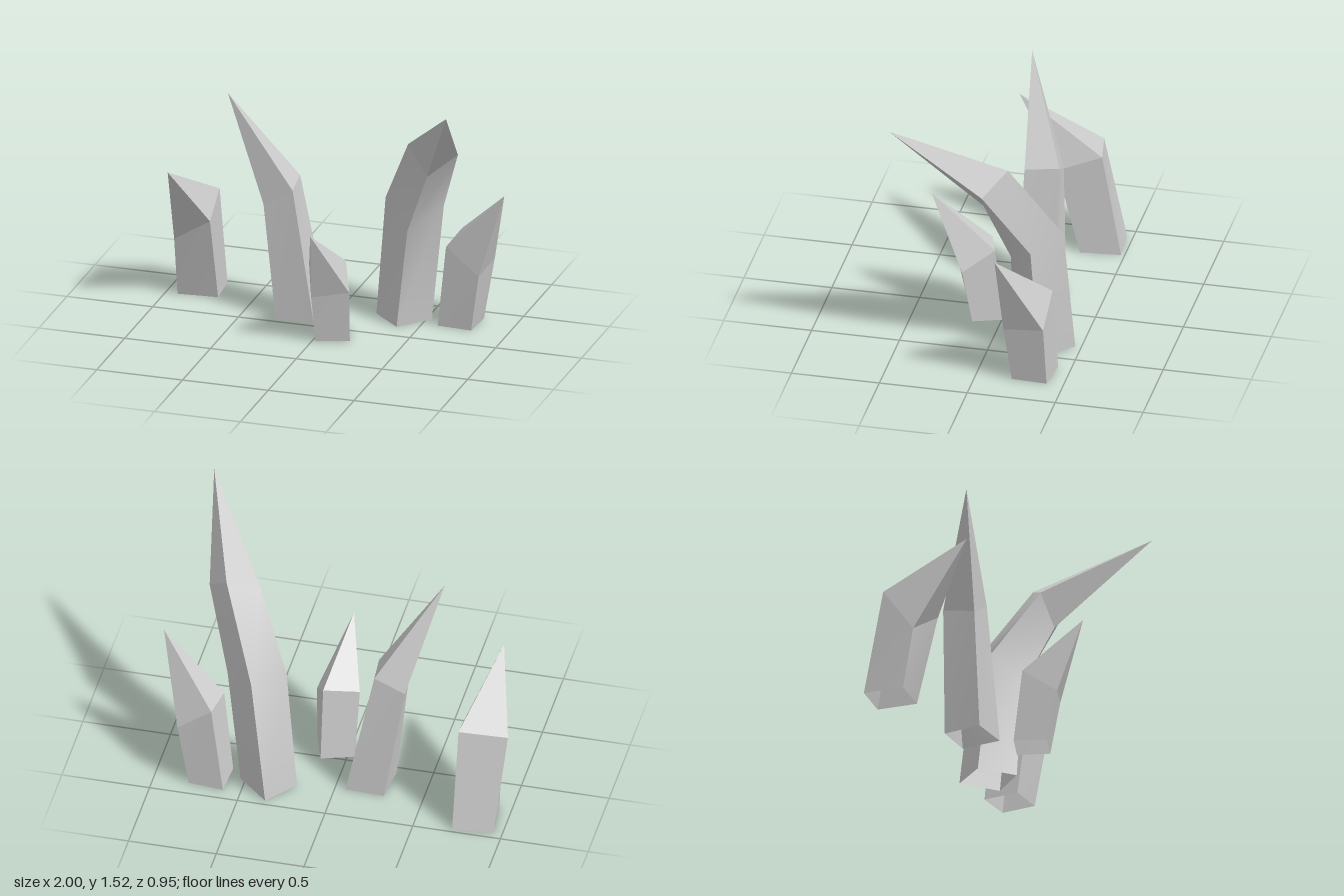
import * as THREE from 'three';
import { mergeGeometries } from 'three/addons/utils/BufferGeometryUtils.js';

// Each spike: four-cornered rings from the ground up (counter-clockwise from above), then a tip.
const SPIKES = {
  farRightSpike: {
    rings: [
      [[-0.95, 0, -0.46], [-0.93, 0, -0.23], [-0.70, 0, -0.25], [-0.72, 0, -0.48]],
      [[-1.00, 0.57, -0.32], [-0.93, 0.35, -0.17], [-0.705, 0.50, -0.12], [-0.73, 0.60, -0.37]],
    ],
    tip: [-0.87, 0.865, 0.13],
  },
  tallRightSpike: {
    rings: [
      [[-0.28, 0, -0.27], [-0.30, 0, -0.05], [-0.07, 0, -0.03], [-0.06, 0, -0.26]],
      [[-0.39, 0.70, -0.23], [-0.37, 0.67, -0.05], [-0.20, 0.77, -0.05], [-0.22, 0.79, -0.245]],
    ],
    tip: [-0.565, 1.325, -0.01],
  },
  smallFrontSpike: {
    rings: [
      [[-0.04, 0, 0.04], [0.02, 0, 0.215], [0.20, 0, 0.155], [0.14, 0, -0.02]],
      [[-0.055, 0.41, 0.10], [0.015, 0.285, 0.28], [0.215, 0.31, 0.21], [0.14, 0.43, 0.04]],
    ],
    tip: [0.055, 0.705, 0.42],
  },
  largeCurvedSpike: {
    rings: [
      [[0.21, 0, -0.29], [0.38, 0, -0.13], [0.53, 0, -0.30], [0.35, 0, -0.465]],
      [[0.28, 0.72, -0.24], [0.445, 0.58, -0.12], [0.61, 0.70, -0.27], [0.44, 0.755, -0.42]],
      [[0.48, 1.14, -0.03], [0.60, 0.97, 0], [0.77, 1.11, -0.03], [0.645, 1.235, -0.15]],
    ],
    tip: [0.865, 1.525, 0.475],
  },
  farLeftSpike: {
    rings: [
      [[0.60, 0, -0.425], [0.59, 0, -0.22], [0.79, 0, -0.205], [0.80, 0, -0.405]],
      [[0.67, 0.52, -0.41], [0.65, 0.49, -0.185], [0.845, 0.34, -0.17], [0.865, 0.37, -0.40]],
    ],
    tip: [1.00, 0.845, -0.155],
  },
};

function patch(points, index) {
  const g = new THREE.BufferGeometry();
  g.setAttribute('position', new THREE.Float32BufferAttribute(points.flat(), 3));
  g.setIndex(index);
  g.computeVertexNormals();
  return g;
}

// Sides are smooth along their length, with hard corners and a hard-edged point; the base is open.
function spikeGeometry({ rings, tip }) {
  const parts = [];
  for (let i = 0; i < 4; i++) {
    const j = (i + 1) % 4;
    const points = [], index = [];
    rings.forEach((ring, k) => {
      points.push(ring[i], ring[j]);
      const a = 2 * k;
      if (k < rings.length - 1) index.push(a, a + 1, a + 3, a, a + 3, a + 2);
    });
    const top = rings[rings.length - 1];
    parts.push(patch(points, index), patch([top[i], top[j], tip], [0, 1, 2]));
  }
  return mergeGeometries(parts);
}

export function createModel() {
  const group = new THREE.Group();
  group.name = 'spikes';
  const material = new THREE.MeshStandardMaterial({ color: 0xcccccc, side: THREE.DoubleSide });
  for (const [name, spike] of Object.entries(SPIKES)) {
    const mesh = new THREE.Mesh(spikeGeometry(spike), material);
    mesh.name = name;
    group.add(mesh);
  }
  return group;
}
